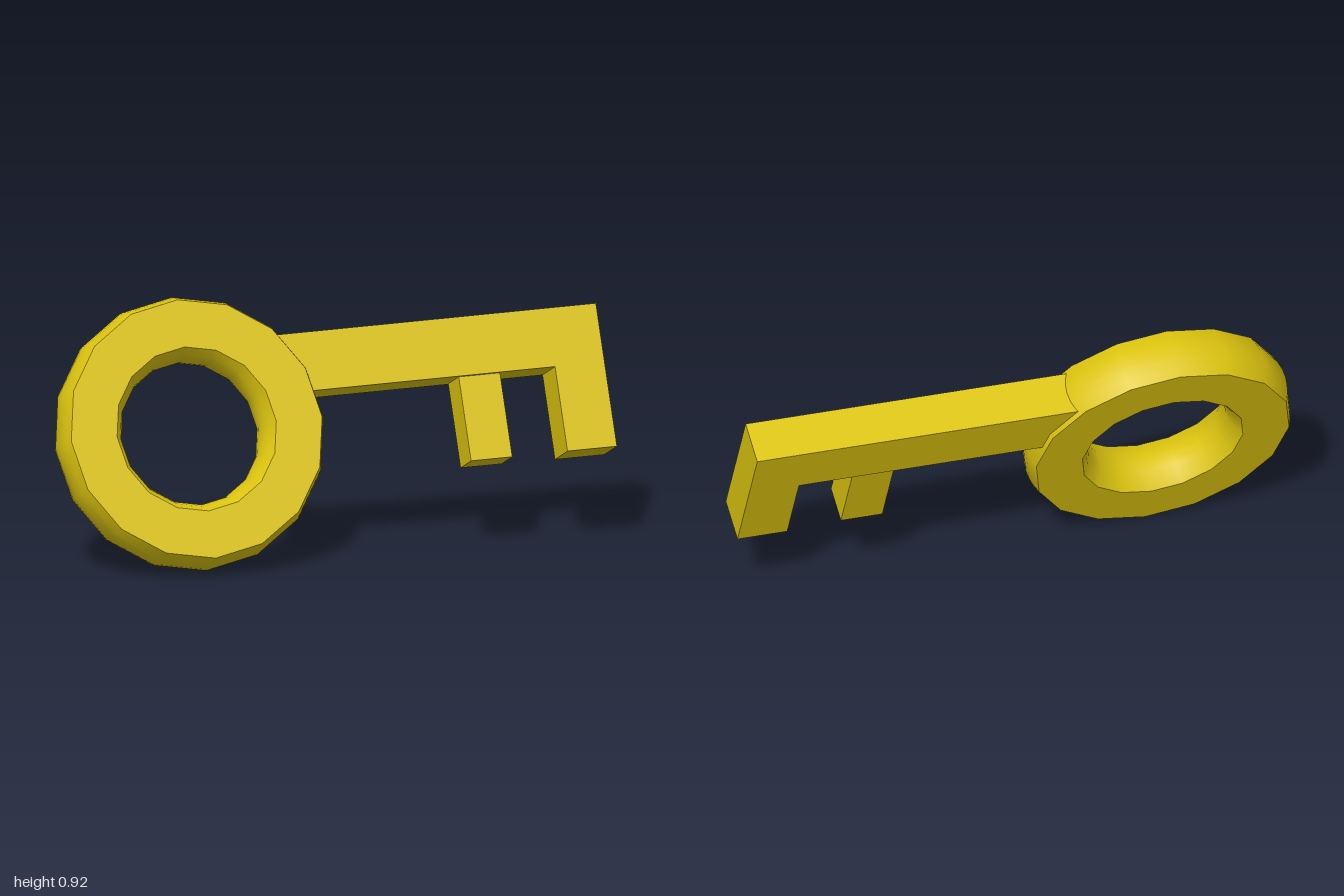
import * as THREE from 'three';

const SIDES = 16;         // facets around the bow
const RING_HALF = 0.095;  // half thickness of the bow
const BAR_HALF = 0.0785;  // half thickness of shaft and end tooth

// Slightly bulged wall between the two flat faces of the bow
function ringWall(edgeRadius, bulge, direction) {
  const points = [];
  for (let i = 0; i <= 6; i++) {
    const t = (i / 3 - 1) * direction;
    points.push(new THREE.Vector2(edgeRadius + bulge * (1 - t * t), t * RING_HALF));
  }
  return new THREE.LatheGeometry(points, SIDES).rotateX(Math.PI / 2);
}

export function createModel() {
  const gold = new THREE.MeshStandardMaterial({ color: 0xdcc40f });
  gold.name = 'yellow gold';

  const key = new THREE.Group();
  key.name = 'key';
  const add = (parent, name, geometry) => {
    const mesh = new THREE.Mesh(geometry, gold);
    mesh.name = name;
    parent.add(mesh);
    return mesh;
  };

  // Bow: ring with flat faces and rounded inner and outer walls
  const bow = new THREE.Group();
  bow.name = 'bow';
  key.add(bow);
  add(bow, 'outerWall', ringWall(0.457, 0.023, 1));
  add(bow, 'innerWall', ringWall(0.29, -0.038, -1));
  for (const side of [1, -1]) {
    const face = add(bow, side > 0 ? 'frontFace' : 'backFace',
      new THREE.RingGeometry(0.29, 0.457, SIDES));
    face.position.z = side * RING_HALF;
    if (side < 0) face.rotation.y = Math.PI;
  }

  // Shaft with the end tooth as one L-shaped plate
  const outline = [[0.31, 0.096], [1.325, 0.096], [1.325, -0.203],
    [1.505, -0.203], [1.505, 0.303], [0.31, 0.303]];
  const shape = new THREE.Shape(outline.map(([x, y]) => new THREE.Vector2(x, y)));
  const shaft = new THREE.ExtrudeGeometry(shape, { depth: 2 * BAR_HALF, bevelEnabled: false });
  add(key, 'shaftAndEndTooth', shaft.translate(0, 0, -BAR_HALF));

  // Slimmer middle tooth, sunk a little into the shaft
  add(key, 'middleTooth', new THREE.BoxGeometry(0.15, 0.321, 0.132))
    .position.set(1.054, -0.0405, -0.004);

  // Lean the key back with a slight turn, with the bow's centre as its origin
  const along = new THREE.Vector3(1, 0.025, -0.066).normalize();
  const normal = new THREE.Vector3(0.051, 0.392, 0.919);
  const up = new THREE.Vector3().crossVectors(normal, along).normalize();
  normal.crossVectors(along, up);
  key.quaternion.setFromRotationMatrix(new THREE.Matrix4().makeBasis(along, up, normal));
  key.position.set(-0.518, 0.46, 0.01);

  const model = new THREE.Group();
  model.add(key);
  return model;
}
